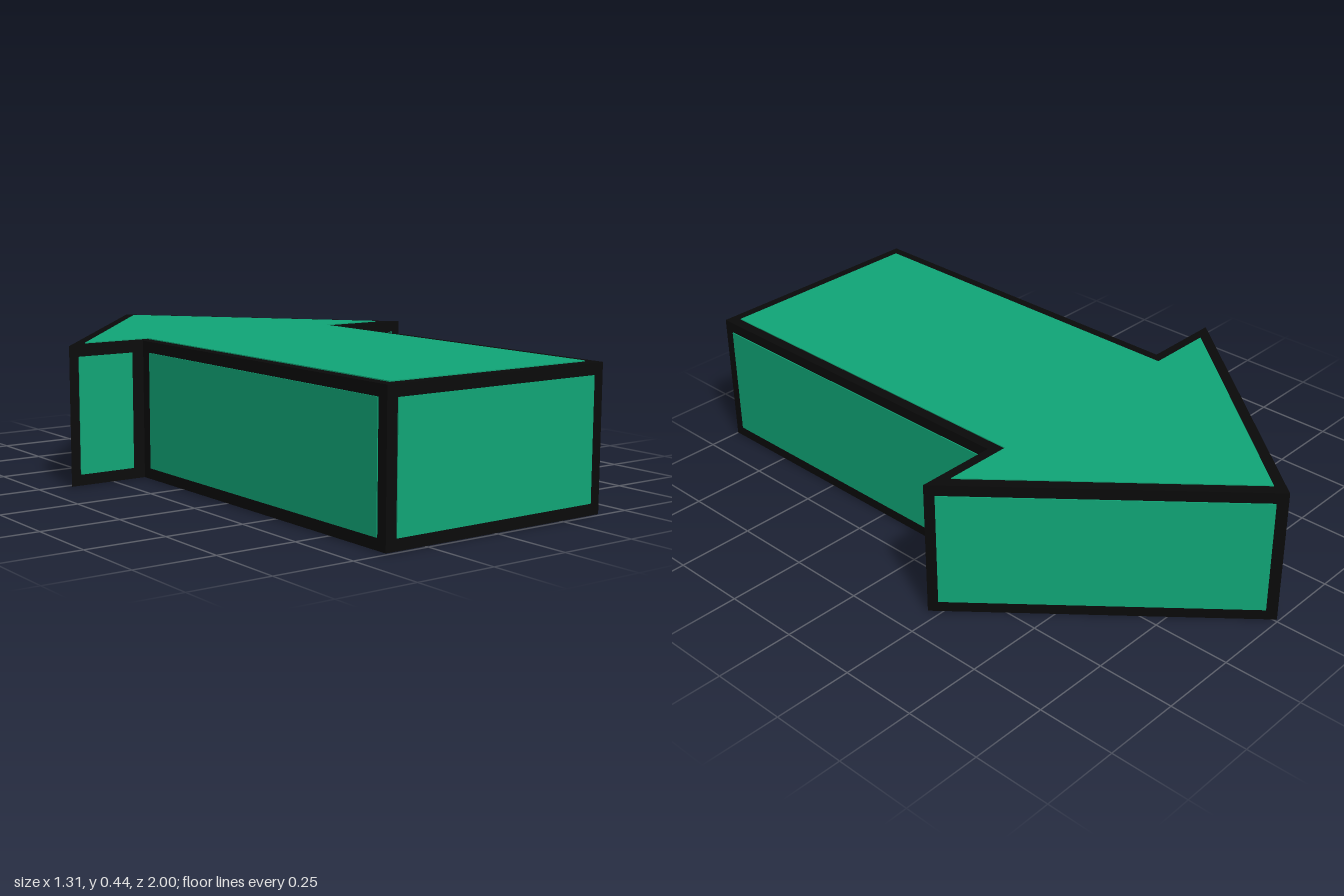
import * as THREE from 'three';

const HEIGHT = 0.445, BORDER = 0.038, RELIEF = 0.003;

// Arrow plan, counterclockwise; plan y points to the back (-z)
const PLAN = [
  [-0.395, -1], [0.395, -1], [0.395, 0.214], [0.66, 0.214],
  [-0.005, 1], [-0.66, 0.214], [-0.395, 0.214],
].map(([x, y]) => new THREE.Vector2(x, y));

// Mitred inward offset of a closed outline
function inset(points, w) {
  const n = points.length;
  const normal = (a, b) => {
    const d = b.clone().sub(a).normalize();
    return new THREE.Vector2(-d.y, d.x);
  };
  return points.map((p, i) => {
    const n1 = normal(points[(i + n - 1) % n], p);
    const n2 = normal(p, points[(i + 1) % n]);
    return p.clone().addScaledVector(n1.clone().add(n2), w / (1 + n1.dot(n2)));
  });
}

// Upright prism over a plan outline
function prism(points, y0, y1) {
  const geo = new THREE.ExtrudeGeometry(new THREE.Shape(points), { depth: y1 - y0, bevelEnabled: false });
  return geo.rotateX(-Math.PI / 2).translate(0, y0, 0);
}

export function createModel() {
  const group = new THREE.Group();
  group.name = 'arrow';
  const black = new THREE.MeshStandardMaterial({ color: 0x0a0a0a });
  const green = new THREE.MeshStandardMaterial({ color: 0x10a677 });
  const add = (name, geo, mat) => {
    const mesh = new THREE.Mesh(geo, mat);
    mesh.name = name;
    group.add(mesh);
    return mesh;
  };

  // Dark body whose edges show as a border around every panel
  add('borderBody', prism(inset(PLAN, RELIEF), RELIEF, HEIGHT - RELIEF), black);

  // Top and bottom panels
  const face = inset(PLAN, BORDER);
  add('topPanel', prism(face, HEIGHT - 0.02, HEIGHT), green);
  add('bottomPanel', prism(face, 0, 0.02), green);

  // One panel on each side wall
  const names = ['tailPanel', 'leftShaftPanel', 'leftBarbPanel', 'leftHeadPanel',
    'rightHeadPanel', 'rightBarbPanel', 'rightShaftPanel'];
  const thick = 0.02;
  PLAN.forEach((a, i) => {
    const b = PLAN[(i + 1) % PLAN.length];
    const d = b.clone().sub(a);
    const length = d.length();
    d.normalize();
    const mid = a.clone().add(b).multiplyScalar(0.5).add(new THREE.Vector2(-d.y, d.x).multiplyScalar(thick / 2));
    const panel = add(names[i], new THREE.BoxGeometry(length - 2 * BORDER, HEIGHT - 2 * BORDER, thick), green);
    panel.position.set(mid.x, HEIGHT / 2, -mid.y);
    panel.rotation.y = Math.atan2(d.y, d.x);
  });
  return group;
}
